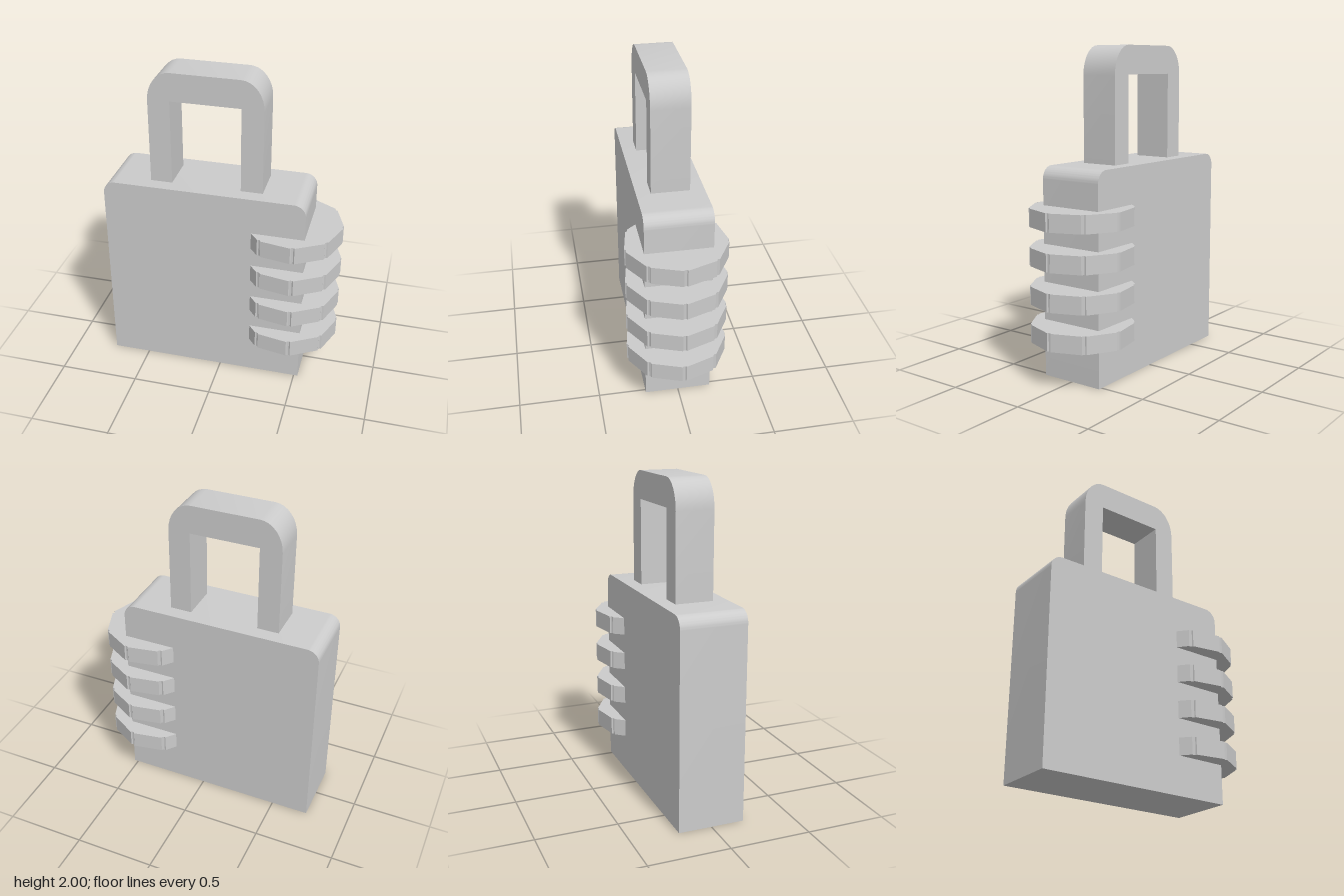
import * as THREE from 'three';
import { toCreasedNormals } from 'three/addons/utils/BufferGeometryUtils.js';

const material = new THREE.MeshStandardMaterial({ color: 0xcccccc });

// Extrude a shape to a depth centred on z = 0, with smooth rounded corners
function extrude(shape, depth, curveSegments) {
  const geometry = new THREE.ExtrudeGeometry(shape, { depth, curveSegments, bevelEnabled: false });
  geometry.translate(0, 0, -depth / 2);
  return toCreasedNormals(geometry, 0.7);
}

// Upright outline with its two top corners rounded
function archShape(x0, x1, y0, y1, rx, ry) {
  const shape = new THREE.Shape();
  shape.moveTo(x0, y0);
  shape.lineTo(x1, y0);
  shape.lineTo(x1, y1 - ry);
  shape.absellipse(x1 - rx, y1 - ry, rx, ry, 0, Math.PI / 2, false, 0);
  shape.lineTo(x0 + rx, y1);
  shape.absellipse(x0 + rx, y1 - ry, rx, ry, Math.PI / 2, Math.PI, false, 0);
  shape.closePath();
  return shape;
}

// Nine-sided wheel with a small notch at every corner
function dialShape(radius) {
  const points = [];
  for (let i = 0; i < 9; i++) {
    const corner = (i / 9) * Math.PI * 2;
    for (const [offset, r] of [[-0.042, radius], [-0.02, radius - 0.007], [0.02, radius - 0.007], [0.042, radius]]) {
      points.push(new THREE.Vector2(Math.cos(corner + offset) * r, Math.sin(corner + offset) * r));
    }
  }
  return new THREE.Shape(points);
}

export function createModel() {
  const group = new THREE.Group();
  const add = (name, geometry) => {
    const mesh = new THREE.Mesh(geometry, material);
    mesh.name = name;
    group.add(mesh);
    return mesh;
  };

  // Lock body
  add('body', extrude(archShape(-0.735, 0.525, 0, 1.29, 0.075, 0.075), 0.412, 8));

  // Shackle: rounded outside, square inside
  const arch = archShape(-0.455, 0.245, 1.29, 2, 0.14, 0.18);
  const shackle = new THREE.Shape([
    new THREE.Vector2(0.11, 1.29),
    ...arch.getPoints(4).slice(1, -1),
    new THREE.Vector2(-0.455, 1.29),
    new THREE.Vector2(-0.32, 1.29),
    new THREE.Vector2(-0.32, 1.825),
    new THREE.Vector2(0.11, 1.825),
  ]);
  add('shackle', extrude(shackle, 0.236, 4));

  // Four combination dials stacked up the left side
  const dialGeometry = new THREE.ExtrudeGeometry(dialShape(0.315), { depth: 0.11, bevelEnabled: false });
  dialGeometry.translate(0, 0, -0.055);
  dialGeometry.rotateX(-Math.PI / 2);
  for (let i = 0; i < 4; i++) {
    add('dial' + (i + 1), dialGeometry).position.set(0.415, 0.3 + i * 0.234, 0);
  }

  return group;
}
